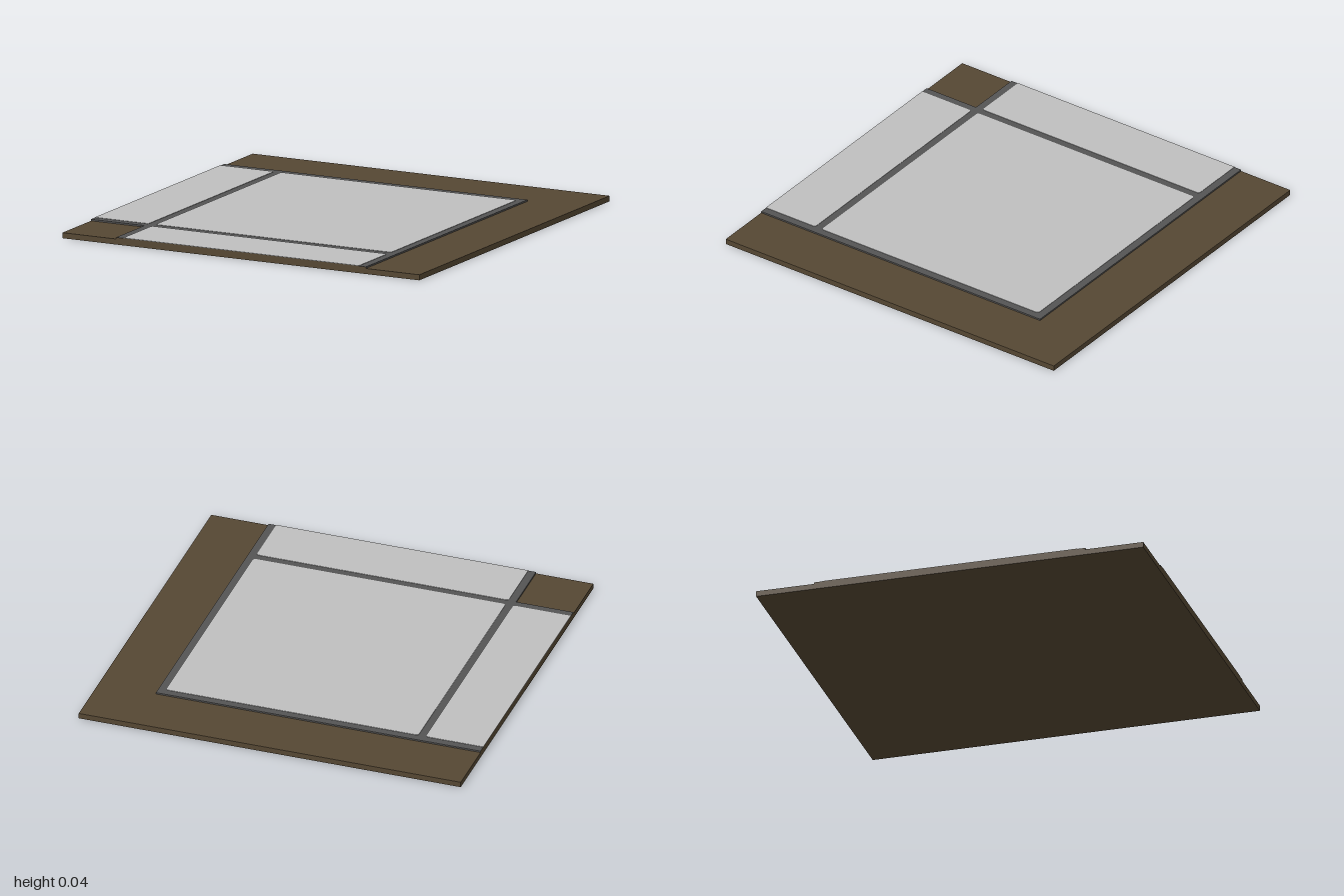
import * as THREE from 'three';

export function createModel() {
  const earth = new THREE.MeshStandardMaterial({ name: 'earthBrown', color: 0x554733 });
  const joint = new THREE.MeshStandardMaterial({ name: 'jointGrey', color: 0x545454 });
  const stone = new THREE.MeshStandardMaterial({ name: 'stoneLightGrey', color: 0xbfbfbf });

  const group = new THREE.Group();
  group.name = 'pavedCornerTile';
  const GROUND = 0.028, BED = 0.036, TOP = 0.038;

  const add = (name, geometry, material) => {
    const mesh = new THREE.Mesh(geometry, material);
    mesh.name = name;
    group.add(mesh);
  };

  // Box between two corners
  const block = (name, x0, x1, y0, y1, z0, z1, material) => {
    const g = new THREE.BoxGeometry(x1 - x0, y1 - y0, z1 - z0);
    g.translate((x0 + x1) / 2, (y0 + y1) / 2, (z0 + z1) / 2);
    add(name, g, material);
  };

  // Thin paving stone; corners on the tile border stay square
  const paver = (name, x0, x1, z0, z1) => {
    const corners = [[x0, z1], [x1, z1], [x1, z0], [x0, z0]];
    const shape = new THREE.Shape();
    corners.forEach(([x, z], i) => {
      const r = x === -1 || z === 1 ? 0 : 0.015;
      const toward = ([px, pz]) => [x + Math.sign(px - x) * r, -(z + Math.sign(pz - z) * r)];
      const a = toward(corners[(i + 3) % 4]);
      const b = toward(corners[(i + 1) % 4]);
      if (i === 0) shape.moveTo(...a);
      else shape.lineTo(...a);
      if (r) shape.quadraticCurveTo(x, -z, ...b);
    });
    shape.closePath();
    const g = new THREE.ExtrudeGeometry(shape, { depth: TOP - BED, bevelEnabled: false, curveSegments: 4 });
    g.rotateX(-Math.PI / 2).translate(0, BED, 0);
    add(name, g, stone);
  };

  // Earth slab
  block('groundSlab', -1, 1, 0, GROUND, -1, 1, earth);

  // Raised paving bed, with earth showing where the tile border cuts it
  block('pavingBed', -1, 0.7, GROUND, BED, -0.7, 0.7, [joint, earth, joint, joint, joint, joint]);
  block('frontPavingBed', -0.7, 0.7, GROUND, BED, 0.7, 1, [joint, joint, joint, joint, earth, joint]);

  // Paving stones
  paver('mainPaver', -0.66, 0.66, -0.66, 0.66);
  paver('sidePaver', -1, -0.7, -0.66, 0.66);
  paver('frontPaver', -0.66, 0.66, 0.7, 1);

  return group;
}
